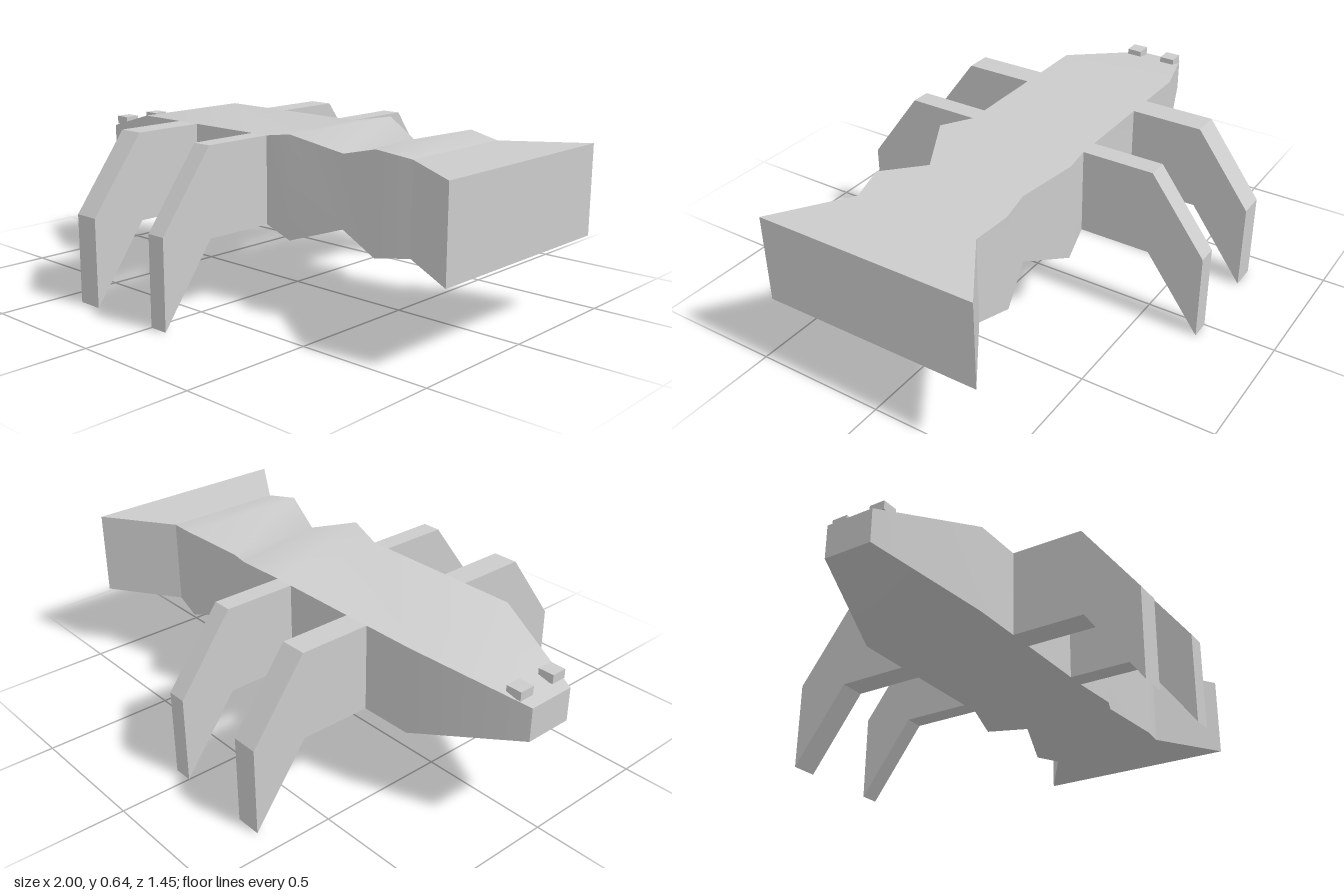
import * as THREE from 'three';
import { toCreasedNormals } from 'three/addons/utils/BufferGeometryUtils.js';

const material = new THREE.MeshStandardMaterial({ color: 0xcccccc });
const flatMaterial = new THREE.MeshStandardMaterial({ color: 0xcccccc, flatShading: true });

// Rectangular cross-sections [x, bottom, top, halfWidth] joined along x
function loft(stations, capStart, capEnd) {
  const positions = [], index = [];
  for (const [x, low, high, w] of stations) {
    positions.push(x, high, w, x, low, w, x, low, -w, x, high, -w);
  }
  const quad = (a, b, c, d) => index.push(a, b, c, a, c, d);
  for (let i = 0; i < stations.length - 1; i++) {
    for (let k = 0; k < 4; k++) {
      const a = i * 4 + k, b = i * 4 + (k + 1) % 4;
      quad(a, b, b + 4, a + 4);
    }
  }
  const e = (stations.length - 1) * 4;
  if (capStart) quad(3, 2, 1, 0);
  if (capEnd) quad(e, e + 1, e + 2, e + 3);
  const geometry = new THREE.BufferGeometry();
  geometry.setAttribute('position', new THREE.Float32BufferAttribute(positions, 3));
  geometry.setIndex(index);
  return toCreasedNormals(geometry, 0.82);
}

export function createModel() {
  const model = new THREE.Group();
  model.name = 'creature';
  const add = (name, geometry, mat = material) => {
    const mesh = new THREE.Mesh(geometry, mat);
    mesh.name = name;
    model.add(mesh);
    return mesh;
  };

  // Body from the snout to the tail root, then the flared tail
  const tailRoot = [0.73, 0.288, 0.615, 0.24];
  add('body', loft([
    [-1, 0.39, 0.515, 0.093],
    [-0.6, 0.288, 0.615, 0.24],
    [0.075, 0.288, 0.615, 0.24],
    [0.225, 0.262, 0.641, 0.278],
    [0.4, 0.318, 0.585, 0.196],
    [0.6, 0.27, 0.635, 0.267],
    tailRoot,
  ], true, false));
  add('tail', loft([tailRoot, [1, 0.288, 0.615, 0.42]], false, true));

  // Bent legs, mirrored left and right of the body
  const profile = new THREE.Shape([
    [0.24, 0.288], [0.515, 0.288], [0.727, 0], [0.727, 0.332], [0.515, 0.615], [0.24, 0.615],
  ].map(([z, y]) => new THREE.Vector2(z, y)));
  for (const [name, x0, x1] of [['frontLeg', -0.4, -0.3], ['backLeg', 0, 0.075]]) {
    for (const side of [1, -1]) {
      const geometry = new THREE.ExtrudeGeometry(profile, { depth: x1 - x0, bevelEnabled: false });
      geometry.rotateY(-side * Math.PI / 2);
      add(name, geometry, flatMaterial).position.x = side > 0 ? x1 : x0;
    }
  }

  // Small block eyes on the snout
  for (const side of [1, -1]) {
    add('eye', new THREE.BoxGeometry(0.06, 0.033, 0.06), flatMaterial)
      .position.set(-0.932, 0.545, side * 0.078);
  }
  return model;
}
